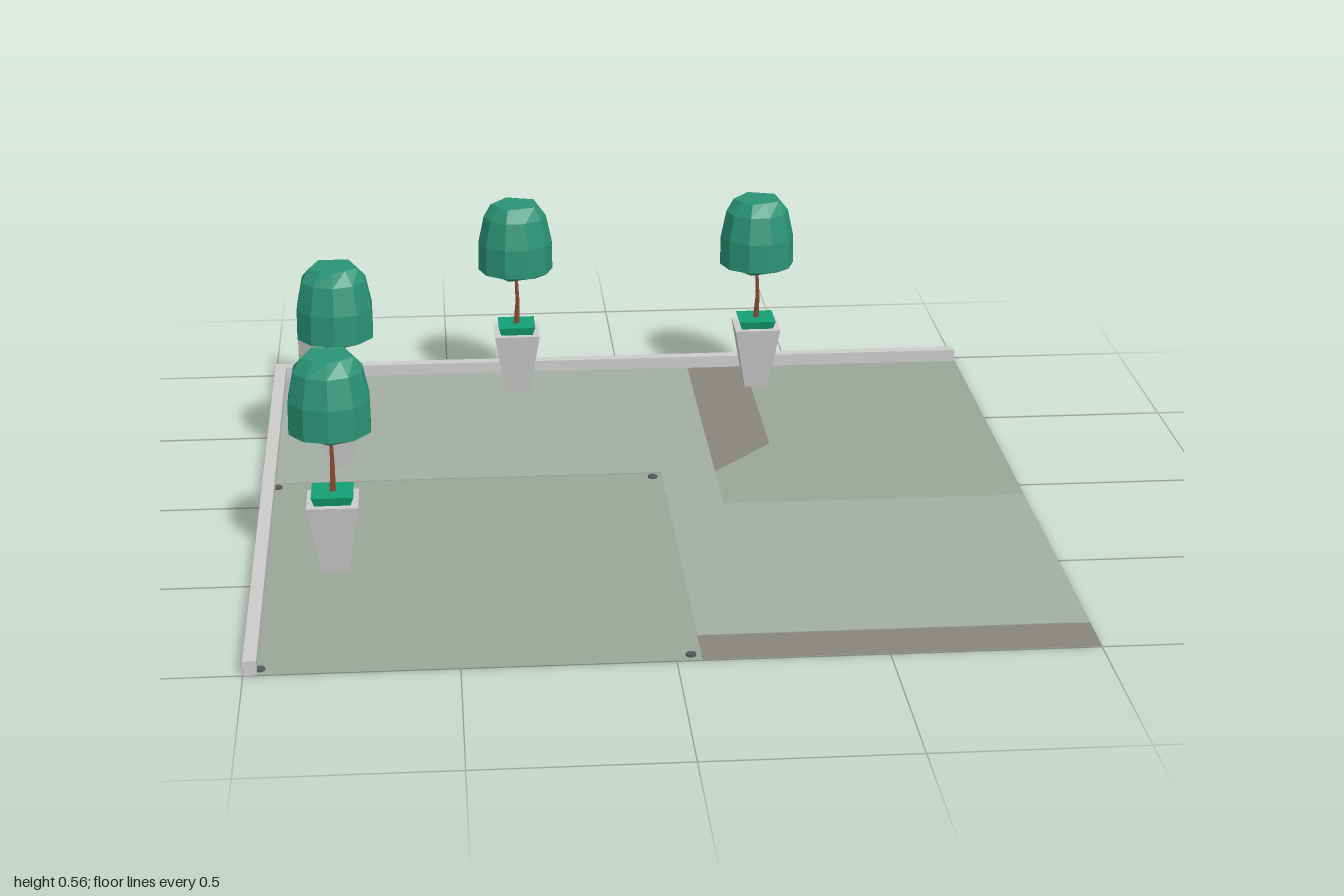
import * as THREE from 'three';

const mat = (color, double = false) => new THREE.MeshStandardMaterial({
  color, flatShading: true, side: double ? THREE.DoubleSide : THREE.FrontSide,
});
const GREY = mat(0xcccccc), FLOOR = mat(0xa3aea3, true), FLOOR_DARK = mat(0x9aa69a, true);
const STRIP = mat(0x88857f, true), LEAF = mat(0x2a9475), BED = mat(0x12a074);
const BARK = mat(0x8a4a32), RED = mat(0xd85262), DARK = mat(0x55585a);

function add(parent, name, geometry, material, x = 0, y = 0, z = 0) {
  const mesh = new THREE.Mesh(geometry, material);
  mesh.name = name;
  mesh.position.set(x, y, z);
  parent.add(mesh);
  return mesh;
}

// Flat floor piece from [x, z] corners
function floorPiece(parent, name, corners, y, material) {
  const shape = new THREE.Shape(corners.map(([x, z]) => new THREE.Vector2(x, -z)));
  add(parent, name, new THREE.ShapeGeometry(shape).rotateX(-Math.PI / 2), material, 0, y, 0);
}

// Square frustum standing on y = 0, given half-widths
function frustum(top, bottom, height) {
  return new THREE.CylinderGeometry(top * Math.SQRT2, bottom * Math.SQRT2, height, 4)
    .rotateY(Math.PI / 4).translate(0, height / 2, 0);
}

// Rod between two points
function rod(a, b, r0, r1, sides = 5) {
  const dir = b.clone().sub(a);
  return new THREE.CylinderGeometry(r1, r0, dir.length(), sides)
    .applyQuaternion(new THREE.Quaternion().setFromUnitVectors(new THREE.Vector3(0, 1, 0), dir.normalize()))
    .translate((a.x + b.x) / 2, (a.y + b.y) / 2, (a.z + b.z) / 2);
}

// Ten-sided crown that closes to a pentagon at top and bottom
function crownGeometry() {
  const rings = [[0.35, 0.068, true], [0.368, 0.105], [0.45, 0.104], [0.525, 0.088], [0.56, 0.068, true]];
  const N = 10, pos = [], idx = [];
  for (const [y, r, pentagon] of rings) {
    for (let i = 0; i < N; i++) {
      const a = Math.PI + (i / N) * Math.PI * 2;
      const rr = pentagon && i % 2 ? r * Math.cos(Math.PI / 5) : r;
      pos.push(Math.cos(a) * rr, y, -Math.sin(a) * rr);
    }
  }
  for (let j = 0; j < rings.length - 1; j++) {
    for (let i = 0; i < N; i++) {
      const a = j * N + i, b = j * N + (i + 1) % N;
      idx.push(a, b, b + N, a, b + N, a + N);
    }
  }
  const top = (rings.length - 1) * N;
  for (let i = 1; i < N - 1; i++) idx.push(0, i + 1, i, top, top + i, top + i + 1);
  const g = new THREE.BufferGeometry();
  g.setAttribute('position', new THREE.Float32BufferAttribute(pos, 3));
  g.setIndex(idx);
  g.computeVertexNormals();
  return g;
}

function pottedTree() {
  const tree = new THREE.Group();
  tree.name = 'pottedTree';
  add(tree, 'pot', frustum(0.064, 0.033, 0.182), GREY);
  add(tree, 'plantBed', frustum(0.052, 0.044, 0.025), BED, 0, 0.18, 0);
  // Slightly bent trunk with short branches under the crown
  const base = new THREE.Vector3(0, 0.2, 0), mid = new THREE.Vector3(0.004, 0.27, 0.002);
  const fork = new THREE.Vector3(0, 0.33, 0);
  add(tree, 'trunkLower', rod(base, mid, 0.009, 0.006), BARK);
  add(tree, 'trunkUpper', rod(mid, new THREE.Vector3(0, 0.38, 0), 0.006, 0.004), BARK);
  for (let i = 0; i < 4; i++) {
    const a = i * Math.PI / 2 + 0.3;
    const tip = new THREE.Vector3(Math.cos(a) * 0.045, 0.36, Math.sin(a) * 0.045);
    add(tree, 'branch', rod(fork, tip, 0.003, 0.002, 4), BARK);
  }
  add(tree, 'crown', crownGeometry(), LEAF);
  return tree;
}

function infoStand() {
  const stand = new THREE.Group();
  stand.name = 'infoStand';
  // Body: side profile (depth, height) swept across its width
  const w = 0.105;
  const profile = new THREE.Shape([
    [0, 0], [0.03, 0], [0.085, 0.17], [0.085, 0.2], [0.055, 0.25], [0, 0.25],
  ].map(([d, y]) => new THREE.Vector2(d, y)));
  add(stand, 'standBody', new THREE.ExtrudeGeometry(profile, { depth: w, bevelEnabled: false })
    .rotateY(-Math.PI / 2).translate(w / 2, 0, 0), GREY);
  const panel = add(stand, 'frontPanel', new THREE.BoxGeometry(0.092, 0.045, 0.006), RED, 0, 0.222, 0.104);
  panel.rotation.x = -0.2;
  add(stand, 'panelBracket', new THREE.BoxGeometry(0.03, 0.012, 0.03), DARK, 0, 0.205, 0.09);
  // Thin map marker with a hole
  const pin = new THREE.Shape([
    [0, 0], [0.024, 0.055], [0.024, 0.07], [0.012, 0.09], [-0.012, 0.09], [-0.024, 0.07], [-0.024, 0.055],
  ].map(([x, y]) => new THREE.Vector2(x, y)));
  const hole = new THREE.Path();
  hole.absarc(0, 0.063, 0.009, 0, Math.PI * 2, true);
  pin.holes.push(hole);
  add(stand, 'marker', new THREE.ExtrudeGeometry(pin, { depth: 0.008, bevelEnabled: false, curveSegments: 4 }),
    RED, 0, 0.275, 0.02);
  return stand;
}

export function createModel() {
  const model = new THREE.Group();
  model.name = 'plazaCorner';

  // Paved floor in slightly stepped pieces
  floorPiece(model, 'floorBackLeft', [[-0.97, -0.97], [0.205, -0.97], [0.205, 0.075], [0.06, 0.075],
    [0.06, -0.155], [-0.97, -0.155]], 0.004, FLOOR);
  floorPiece(model, 'floorFrontLeft', [[-0.97, -0.155], [0.06, -0.155], [0.06, 1], [-0.97, 1]], 0.002, FLOOR_DARK);
  floorPiece(model, 'floorFrontRight', [[0.06, 0.075], [1, 0.075], [1, 0.87], [0.06, 0.87]], 0.004, FLOOR);
  floorPiece(model, 'floorBackRight', [[0.375, -0.97], [1, -0.97], [1, 0.075], [0.205, 0.075],
    [0.205, -0.155], [0.375, -0.345]], 0.002, FLOOR_DARK);
  floorPiece(model, 'stripBack', [[0.205, -0.97], [0.375, -0.97], [0.375, -0.345], [0.205, -0.155]], 0.002, STRIP);
  floorPiece(model, 'stripFront', [[0.06, 0.87], [1, 0.87], [1, 1], [0.06, 1]], 0.002, STRIP);

  // Curbs along the back and right sides
  add(model, 'curbBack', new THREE.BoxGeometry(2, 0.036, 0.032), GREY, 0, 0.018, -0.984);
  add(model, 'curbRight', new THREE.BoxGeometry(0.032, 0.036, 1.968), GREY, -0.984, 0.018, 0.016);

  // Small floor studs
  for (const x of [-0.962, 0.035]) {
    for (const z of [-0.125, 0.975]) {
      add(model, 'floorStud', new THREE.CylinderGeometry(0.012, 0.013, 0.007, 8), DARK, x, 0.0045, z);
    }
  }

  // Trees: two along the back, two along the right side
  for (const [x, z, turn] of [[-0.3, -0.83, 0], [0.39, -0.83, 0], [-0.8, -0.3, 1], [-0.8, 0.395, 1]]) {
    const tree = pottedTree();
    tree.position.set(x, 0, z);
    tree.rotation.y = turn * Math.PI / 2;
    model.add(tree);
  }

  // Stand in the corner, turned to face the middle
  const stand = infoStand();
  stand.position.set(-0.888, 0, -0.888);
  stand.rotation.y = Math.PI / 4;
  model.add(stand);
  return model;
}
